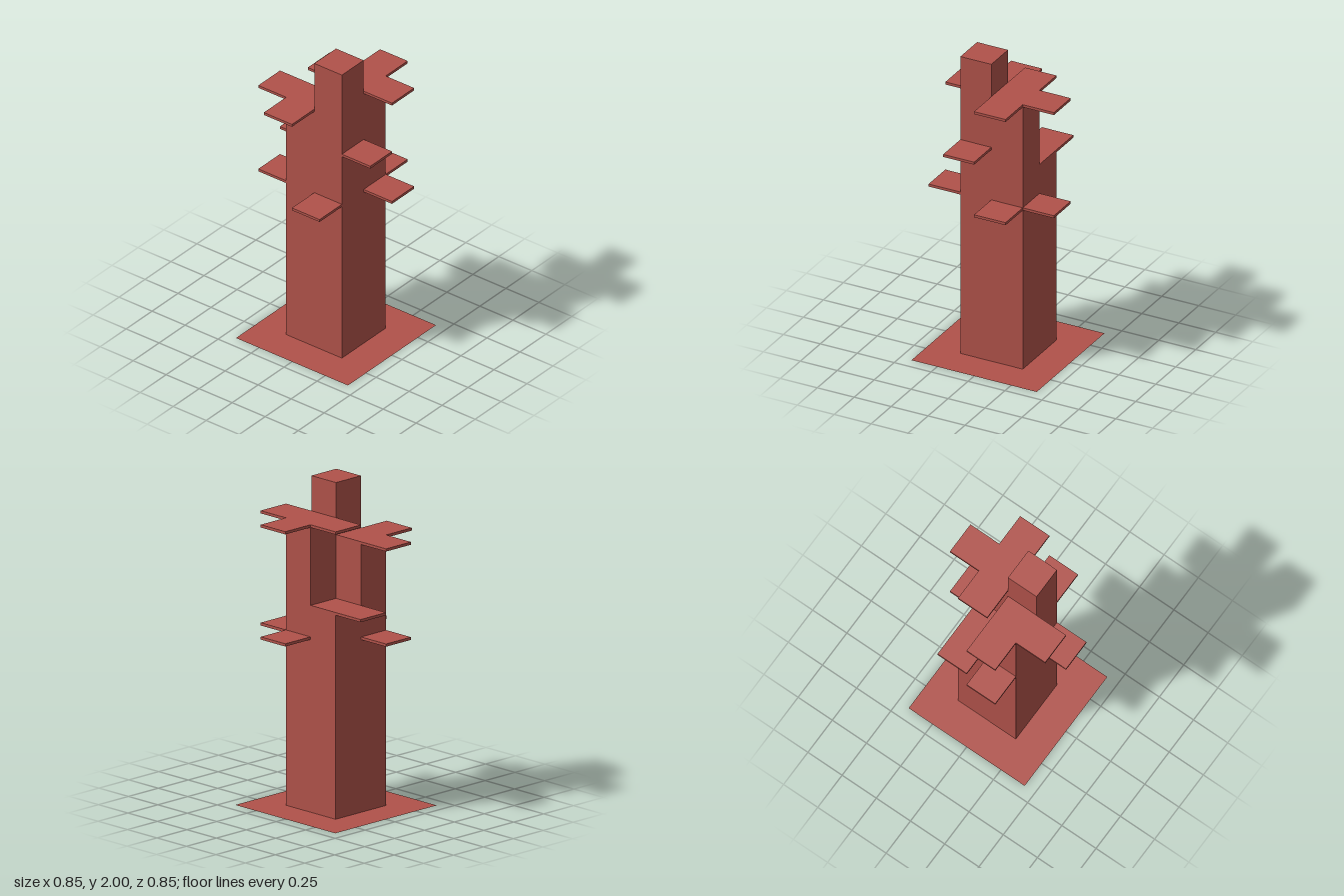
import * as THREE from 'three';

const B = 0.424;             // outer edge of ledges and base
const L = -0.213, R = 0.209; // tower walls
const T = 0.017;             // ledge thickness

const material = new THREE.MeshStandardMaterial({ color: 0xb0524a, side: THREE.DoubleSide, flatShading: true });

function add(group, name, geometry, y = 0) {
  const mesh = new THREE.Mesh(geometry, material);
  mesh.name = name;
  mesh.position.y = y;
  group.add(mesh);
}

// Plan outline of [x, z] points as a shape that lies flat after rotating about x
const plan = pts => new THREE.Shape(pts.map(([x, z]) => new THREE.Vector2(x, -z)));
const rect = (x0, x1, z0, z1) => [[x0, z0], [x0, z1], [x1, z1], [x1, z0]];
const slab = pts => new THREE.ExtrudeGeometry(plan(pts), { depth: T, bevelEnabled: false }).rotateX(-Math.PI / 2);
const sheet = shape => new THREE.ShapeGeometry(shape).rotateX(-Math.PI / 2);

// Hollow band of walls around a plan outline, from y0 to y1
function walls(pts, y0, y1) {
  const pos = [];
  pts.forEach(([x, z], i) => {
    const [u, w] = pts[(i + 1) % pts.length];
    pos.push(x, y0, z, u, y0, w, u, y1, w, x, y0, z, u, y1, w, x, y1, z);
  });
  const g = new THREE.BufferGeometry();
  g.setAttribute('position', new THREE.Float32BufferAttribute(pos, 3));
  g.computeVertexNormals();
  return g;
}

export function createModel() {
  const model = new THREE.Group();
  model.name = 'steppedTower';

  // Flat base with the open tower foot cut out
  const base = plan(rect(-B, B, -B, B));
  base.holes.push(new THREE.Path(plan(rect(L, R, L, R)).getPoints()));
  add(model, 'base', sheet(base));

  // Tower shaft loses one quarter at each step
  const y = { low: 1.265, middle: 1.66, high: 1.765, top: 2 };
  add(model, 'lowerShaft', walls(rect(L, R, L, R), 0, y.low));
  add(model, 'cornerShaft', walls([[L, 0], [L, R], [R, R], [R, L], [0, L], [0, 0]], y.low, y.middle));
  add(model, 'halfShaft', walls(rect(0, R, L, R), y.middle, y.high));
  add(model, 'topShaft', walls(rect(0, R, 0, R), y.high, y.top));
  add(model, 'topCap', sheet(plan(rect(0, R, 0, R))), y.top);

  // Ledges that cover the steps
  add(model, 'lowStepLedge', slab(rect(-B, 0, L, 0)), y.low);
  add(model, 'middleStepLedge', slab([[-B, 0], [-B, R], [L, R], [L, B], [0, B], [0, 0]]), y.middle);
  add(model, 'highStepLedge', slab([[L, L], [L, 0], [B, 0], [B, L], [R, L], [R, -B], [0, -B], [0, L]]), y.high);

  // Single square ledges on the walls
  [
    [rect(0, R, R, B), 1.07],
    [rect(R, B, L, 0), 1.07],
    [rect(0, R, -B, L), 1.07],
    [rect(-B, L, 0, R), 1.07],
    [rect(R, B, 0, R), 1.424],
  ].forEach(([pts, h], i) => add(model, `wallLedge${i + 1}`, slab(pts), h));

  return model;
}
